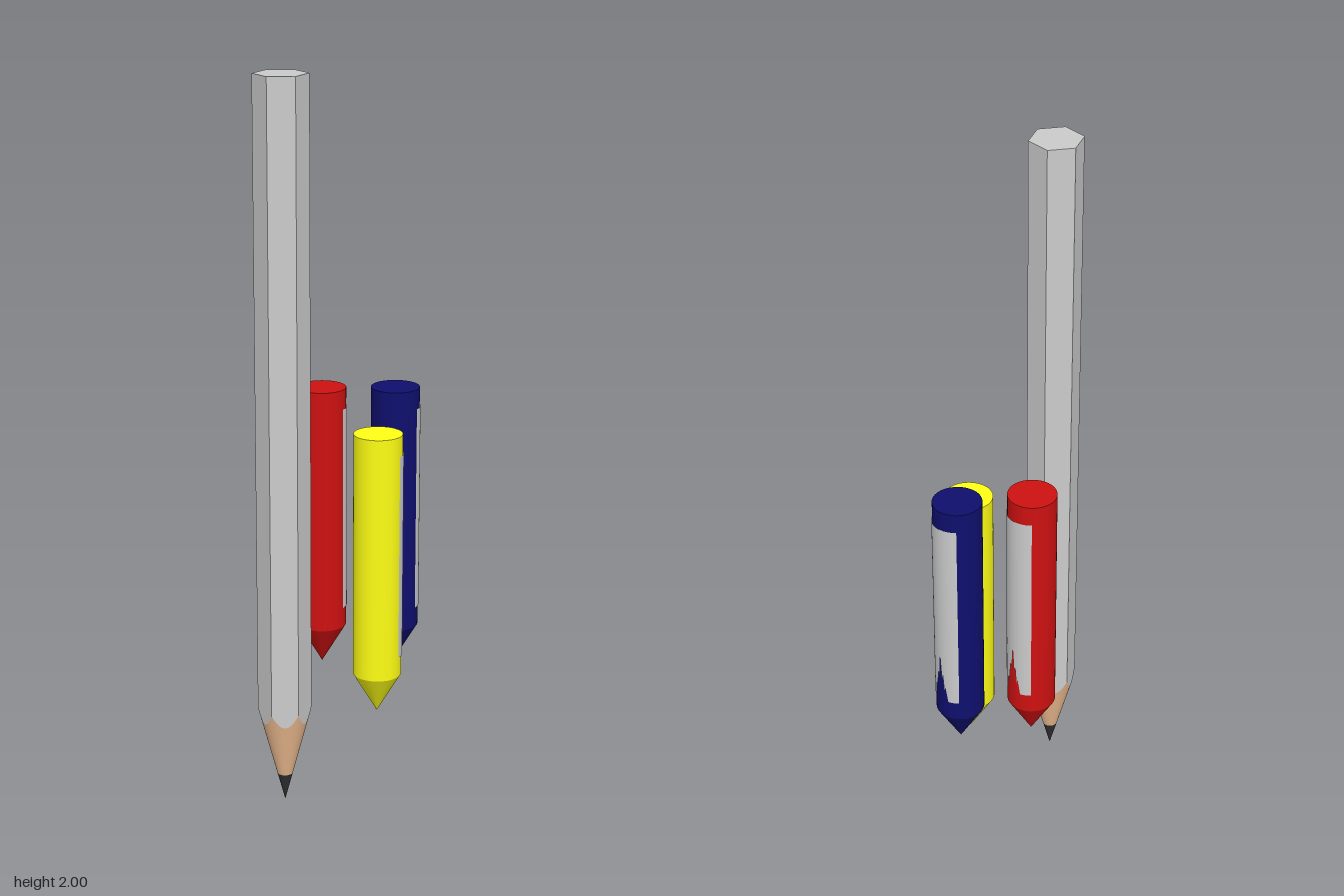
import * as THREE from 'three';

const paint = (color, extra = {}) => new THREE.MeshStandardMaterial({ color, ...extra });

function addMesh(parent, name, geometry, material) {
  const mesh = new THREE.Mesh(geometry, material);
  mesh.name = name;
  parent.add(mesh);
  return mesh;
}

// Skin between equally long rows of points, listed bottom to top
function loft(rows, closed) {
  const n = rows[0].length;
  const index = [];
  for (let r = 0; r < rows.length - 1; r++) {
    for (let i = 0; i < (closed ? n : n - 1); i++) {
      const j = (i + 1) % n;
      const a = r * n + i, b = r * n + j, c = a + n, d = b + n;
      index.push(a, c, b, b, c, d);
    }
  }
  const geometry = new THREE.BufferGeometry().setFromPoints(rows.flat());
  geometry.setIndex(index);
  geometry.computeVertexNormals();
  return geometry;
}

// Hexagonal pencil whose sharpened cone meets the flats in scallops
function createPencil() {
  const R = 0.073, slope = 0.265, top = 2, leadTop = 0.08, steps = 10;
  const pencil = new THREE.Group();
  pencil.name = 'pencil';

  const outline = [];
  for (let side = 0; side < 6; side++) {
    const corner = (k) => new THREE.Vector3(Math.sin(k * Math.PI / 3) * R, 0, Math.cos(k * Math.PI / 3) * R);
    for (let s = 0; s < steps; s++) {
      // clockwise when seen from below, so that faces look outward
      outline.push(corner(side).lerp(corner(side + 1), s / steps));
    }
  }
  const scallop = outline.map((p) => p.clone().setY(p.length() / slope));
  const rim = outline.map((p) => p.clone().setY(top));
  const neck = outline.map((p) => p.clone().setLength(leadTop * slope).setY(leadTop));

  const bodyGeometry = loft([scallop, rim], true).toNonIndexed();
  // outline runs the same way as the cap, so flip the winding check here
  bodyGeometry.computeVertexNormals();
  const grey = paint(0xcccccc, { flatShading: true, side: THREE.DoubleSide });
  addMesh(pencil, 'pencilBody', bodyGeometry, grey);

  const cap = new THREE.CircleGeometry(R, 6, Math.PI / 2);
  cap.rotateX(-Math.PI / 2);
  addMesh(pencil, 'pencilEnd', cap, paint(0xcccccc)).position.y = top;

  addMesh(pencil, 'sharpenedWood', loft([neck, scallop], true), paint(0xf0be92, { side: THREE.DoubleSide }));

  const lead = new THREE.ConeGeometry(leadTop * slope, leadTop, 32, 1, true);
  lead.rotateX(Math.PI);
  addMesh(pencil, 'leadTip', lead, paint(0x303030)).position.y = leadTop / 2;
  return pencil;
}

// Paper label around one side, with a ragged tear rising from its lower edge
function createLabelGeometry(radius) {
  const bottom = 0.17, top = 0.75, n = 64;
  const from = THREE.MathUtils.degToRad(-48), to = THREE.MathUtils.degToRad(63);
  const tear = [[-22, 0], [-15, 0.05], [-12, 0.03], [-8, 0.09], [-5, 0.07], [0, 0.16],
    [4, 0.08], [7, 0.1], [11, 0.03], [15, 0.05], [20, 0]];
  const tearHeight = (deg) => {
    for (let i = 0; i < tear.length - 1; i++) {
      const [a, ha] = tear[i], [b, hb] = tear[i + 1];
      if (deg >= a && deg <= b) return ha + (hb - ha) * (deg - a) / (b - a);
    }
    return 0;
  };
  const lower = [], upper = [];
  for (let i = 0; i <= n; i++) {
    const t = i / n;
    const angle = to + (from - to) * t;
    const r = radius + 0.0008 + 0.002 * Math.sin(Math.PI * t);
    const x = Math.cos(angle) * r, z = Math.sin(angle) * r;
    lower.push(new THREE.Vector3(x, bottom + tearHeight(THREE.MathUtils.radToDeg(angle)), z));
    upper.push(new THREE.Vector3(x, top, z));
  }
  // reversed order keeps the printed side outward
  return loft([upper, lower].map((row) => row.reverse()), false);
}

// Crayon standing on its point, origin at the tip
function createCrayon(name, color, x, y, z) {
  const radius = 0.067, height = 0.805, tip = 0.113;
  const crayon = new THREE.Group();
  crayon.name = name;
  const wax = paint(color);

  const barrel = new THREE.CylinderGeometry(radius, radius, height - tip, 48);
  addMesh(crayon, 'barrel', barrel, wax).position.y = (height + tip) / 2;

  const point = new THREE.ConeGeometry(radius, tip, 48, 1, true);
  point.rotateX(Math.PI);
  addMesh(crayon, 'point', point, wax).position.y = tip / 2;

  addMesh(crayon, 'paperLabel', createLabelGeometry(radius), paint(0xcccccc, { side: THREE.DoubleSide }));
  crayon.position.set(x, y, z);
  return crayon;
}

export function createModel() {
  const model = new THREE.Group();
  model.name = 'pencilAndCrayons';

  const pencil = createPencil();
  pencil.position.set(-0.205, 0, 0.075);
  model.add(pencil);

  model.add(createCrayon('redCrayon', 0xce1111, 0.026, 0.3, -0.103));
  model.add(createCrayon('blueCrayon', 0x0f0f6e, 0.199, 0.3, 0.001));
  model.add(createCrayon('yellowCrayon', 0xffff14, 0.078, 0.21, 0.101));
  return model;
}
